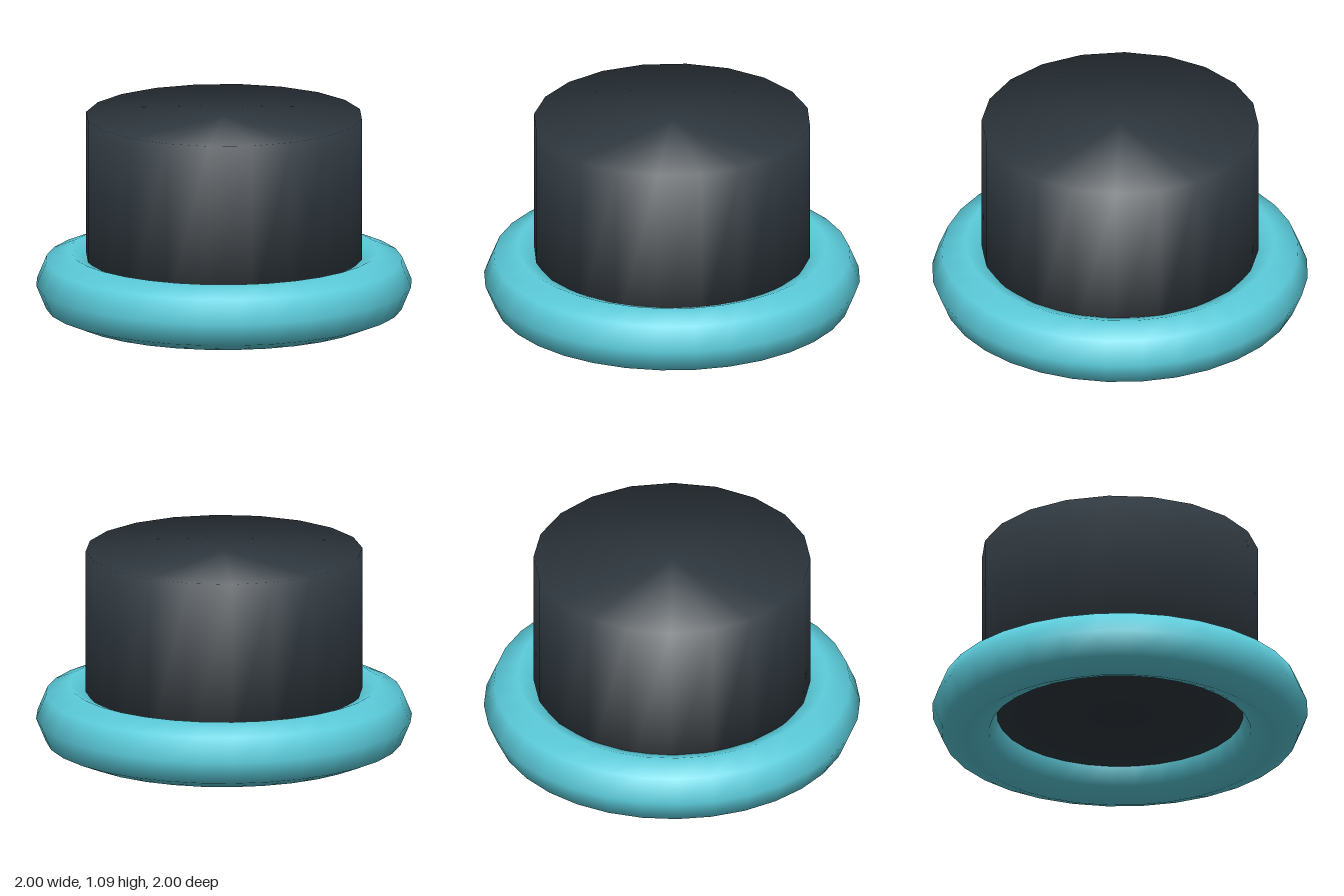
import * as THREE from 'three';

const darkFelt = new THREE.MeshStandardMaterial({ color: 0x2f383f });
darkFelt.name = 'darkFelt';
const turquoise = new THREE.MeshStandardMaterial({ color: 0x5ccddc });
turquoise.name = 'turquoise';

// Closed cylinder shaded as one smooth surface, with rim normals bent 45 degrees
function softCylinder(radius, height, sides) {
  const geometry = new THREE.CylinderGeometry(radius, radius, height, sides);
  const { position, normal } = geometry.attributes;
  const n = new THREE.Vector3();
  for (let i = 0; i < position.count; i++) {
    n.fromBufferAttribute(position, i);
    n.set(n.x / radius, Math.sign(n.y), n.z / radius).normalize();
    normal.setXYZ(i, n.x, n.y, n.z);
  }
  return geometry;
}

export function createModel() {
  const group = new THREE.Group();
  group.name = 'hat';

  // Crown, its lower end sunk into the ring
  const bottom = 0.15, top = 1.09;
  const crown = new THREE.Mesh(softCylinder(0.737, top - bottom, 20), darkFelt);
  crown.name = 'crown';
  crown.position.y = (top + bottom) / 2;
  group.add(crown);

  // Rolled brim
  const tube = 0.178;
  const brimGeometry = new THREE.TorusGeometry(1 - tube, tube, 8, 32);
  brimGeometry.rotateX(-Math.PI / 2);
  const brim = new THREE.Mesh(brimGeometry, turquoise);
  brim.name = 'brim';
  brim.position.y = tube;
  group.add(brim);

  return group;
}
